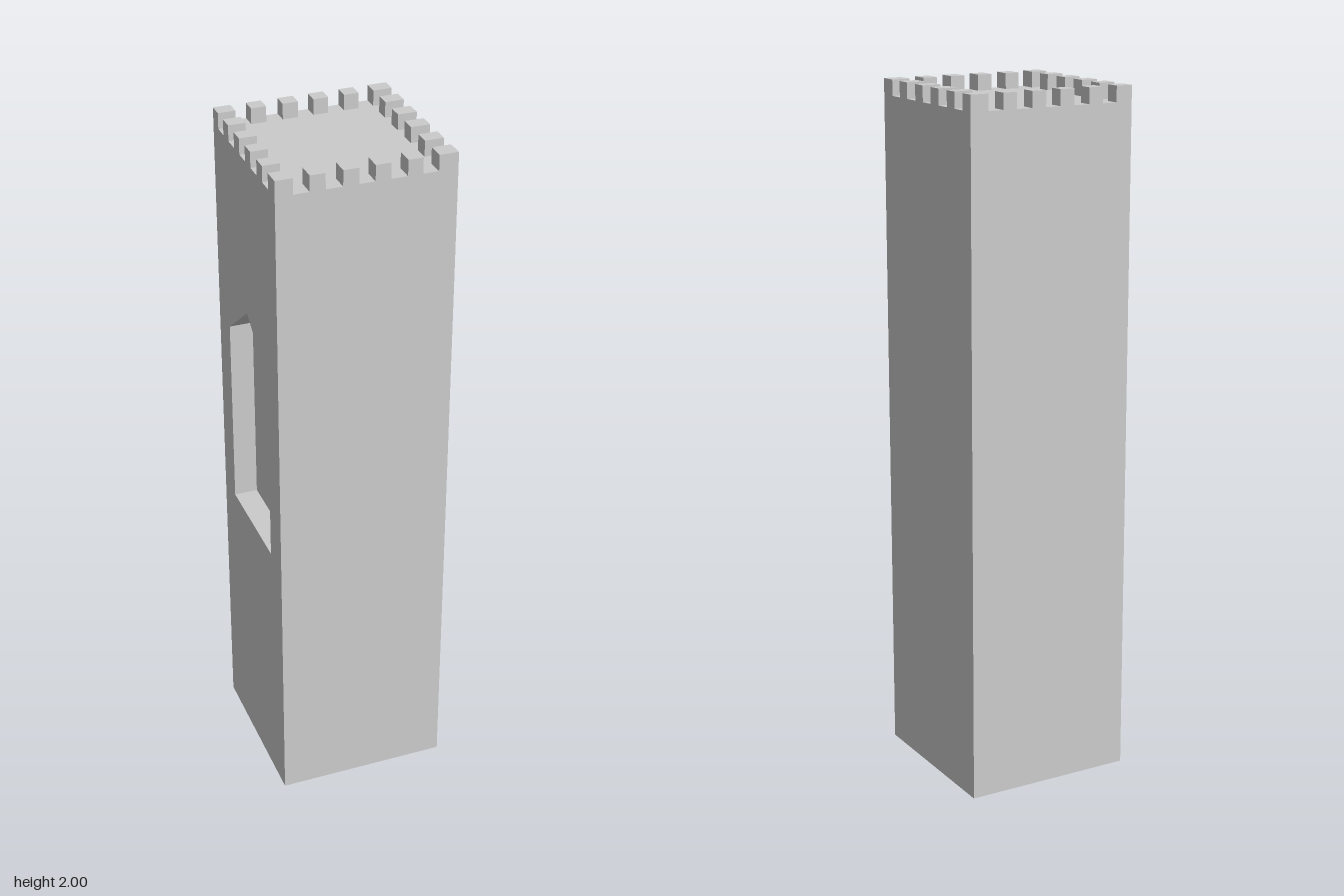
import * as THREE from 'three';

const HALF = 0.25, FLOOR = 1.955, TOP = 2, NICHE_BACK = 0.182;

export function createModel() {
  const tower = new THREE.Group();
  tower.name = 'tower';
  const stone = new THREE.MeshStandardMaterial({ color: 0xcccccc, flatShading: true });
  const add = (parent, name, geometry) => {
    const mesh = new THREE.Mesh(geometry, stone);
    mesh.name = name;
    parent.add(mesh);
    return mesh;
  };

  // Shaft: a box without its -x side, which is rebuilt below with a niche
  const box = new THREE.BoxGeometry(2 * HALF, FLOOR, 2 * HALF);
  const index = Array.from(box.index.array);
  index.splice(6, 6);
  box.setIndex(index);
  box.clearGroups();
  add(tower, 'shaft', box).position.y = FLOOR / 2;

  // Niche side, drawn in x-y facing +z and turned to face -x
  const nicheSide = new THREE.Group();
  nicheSide.name = 'nicheSide';
  nicheSide.rotation.y = -Math.PI / 2;
  tower.add(nicheSide);

  const outline = [[-0.162, 0.805], [0.162, 0.805], [0.162, 1.375], [0, 1.5], [-0.162, 1.375]]
    .map(([x, y]) => new THREE.Vector2(x, y));
  const wall = new THREE.Shape([[-HALF, 0], [HALF, 0], [HALF, FLOOR], [-HALF, FLOOR]]
    .map(([x, y]) => new THREE.Vector2(x, y)));
  wall.holes.push(new THREE.Path(outline));
  add(nicheSide, 'nicheWall', new THREE.ShapeGeometry(wall)).position.z = HALF;
  add(nicheSide, 'nicheBack', new THREE.ShapeGeometry(new THREE.Shape(outline))).position.z = NICHE_BACK;

  // Niche sill, jambs and pointed head: one inward-facing quad per edge
  const reveal = [];
  outline.forEach((a, i) => {
    const b = outline[(i + 1) % outline.length];
    reveal.push(
      a.x, a.y, HALF, b.x, b.y, HALF, b.x, b.y, NICHE_BACK,
      a.x, a.y, HALF, b.x, b.y, NICHE_BACK, a.x, a.y, NICHE_BACK);
  });
  const revealGeometry = new THREE.BufferGeometry();
  revealGeometry.setAttribute('position', new THREE.Float32BufferAttribute(reveal, 3));
  revealGeometry.computeVertexNormals();
  add(nicheSide, 'nicheReveal', revealGeometry);

  // Battlements: spans of the merlons along x and along z
  const battlements = new THREE.Group();
  battlements.name = 'battlements';
  tower.add(battlements);
  const xs = [[-HALF, -0.201], [-0.157, -0.114], [-0.067, -0.023], [0.021, 0.064], [0.11, 0.152], [0.196, HALF]];
  const zs = [[-HALF, -0.207], [-0.163, -0.12], [-0.073, -0.029], [0.017, 0.061], [0.11, 0.154], [0.199, HALF]];
  const last = xs.length - 1;
  xs.forEach(([x0, x1], i) => zs.forEach(([z0, z1], j) => {
    if (i % last !== 0 && j % last !== 0) return; // only the rim carries merlons
    const merlon = add(battlements, 'merlon', new THREE.BoxGeometry(x1 - x0, TOP - FLOOR, z1 - z0));
    merlon.position.set((x0 + x1) / 2, (TOP + FLOOR) / 2, (z0 + z1) / 2);
  }));

  return tower;
}
